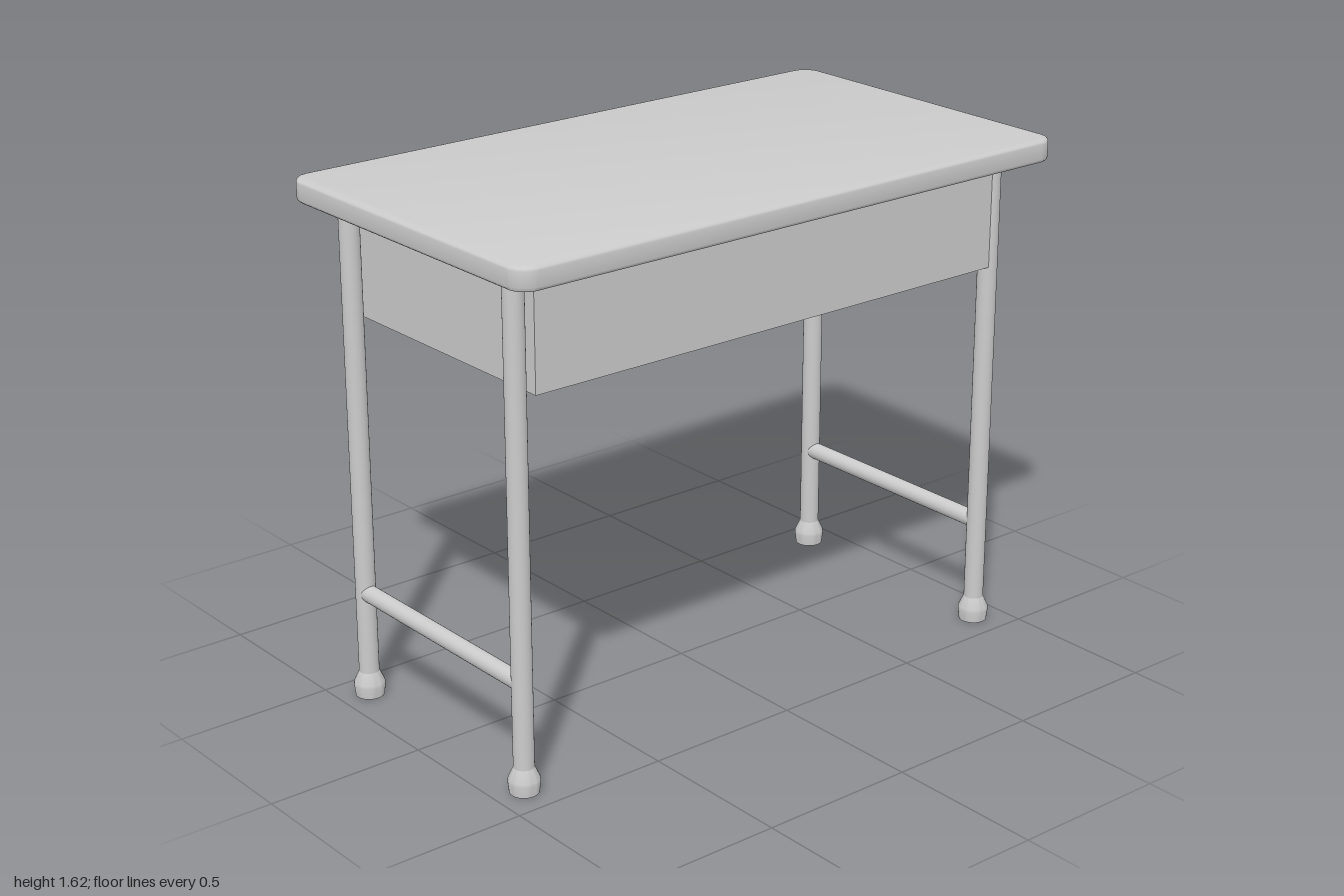
import * as THREE from 'three';
import { toCreasedNormals } from 'three/addons/utils/BufferGeometryUtils.js';

const material = new THREE.MeshStandardMaterial({ color: 0xcccccc });

function part(name, geometry, x = 0, y = 0, z = 0) {
  const mesh = new THREE.Mesh(geometry, material);
  mesh.name = name;
  mesh.position.set(x, y, z);
  return mesh;
}

// Rounded rectangle centred on the origin
function roundedRect(halfW, halfH, r) {
  const shape = new THREE.Shape();
  shape.absarc(halfW - r, halfH - r, r, 0, Math.PI / 2);
  shape.absarc(-halfW + r, halfH - r, r, Math.PI / 2, Math.PI);
  shape.absarc(-halfW + r, -halfH + r, r, Math.PI, Math.PI * 1.5);
  shape.absarc(halfW - r, -halfH + r, r, Math.PI * 1.5, Math.PI * 2);
  shape.closePath();
  return shape;
}

function lathe(points) {
  const profile = points.map(([r, y]) => new THREE.Vector2(r, y));
  return toCreasedNormals(new THREE.LatheGeometry(profile, 32), 0.5);
}

export function createModel() {
  const desk = new THREE.Group();
  desk.name = 'desk';

  // Tabletop with rounded corners and softened edges
  const bevel = 0.012;
  const topGeometry = new THREE.ExtrudeGeometry(roundedRect(0.56 - bevel, 1 - bevel, 0.05), {
    depth: 0.07 - 2 * bevel, bevelThickness: bevel, bevelSize: bevel, bevelSegments: 3, curveSegments: 8,
  });
  topGeometry.rotateX(-Math.PI / 2);
  desk.add(part('tabletop', toCreasedNormals(topGeometry, 0.6), 0, 1.55 + bevel, 0));

  // Storage tray, open on the -x side
  const tray = new THREE.Group();
  tray.name = 'storageTray';
  const [bottom, top, back, front, halfX, wall] = [1.2, 1.54, -0.875, 0.855, 0.42, 0.04];
  const height = top - bottom, length = front - back;
  const midY = (top + bottom) / 2, midZ = (front + back) / 2;
  const innerX = 2 * halfX - wall, offsetX = -wall / 2;
  const sideGeometry = new THREE.BoxGeometry(wall, height, length);
  const plateGeometry = new THREE.BoxGeometry(innerX, wall, length);
  const endGeometry = new THREE.BoxGeometry(innerX, height - 2 * wall, wall);
  tray.add(part('trayClosedSide', sideGeometry, halfX - wall / 2, midY, midZ));
  tray.add(part('trayFloor', plateGeometry, offsetX, bottom + wall / 2, midZ));
  tray.add(part('trayRoof', plateGeometry, offsetX, top - wall / 2, midZ));
  tray.add(part('trayFrontWall', endGeometry, offsetX, midY, front - wall / 2));
  tray.add(part('trayBackWall', endGeometry, offsetX, midY, back + wall / 2));
  desk.add(tray);

  // Legs with flared feet, and one stretcher for each end
  const legHeight = 1.56;
  const legGeometry = new THREE.CylinderGeometry(0.031, 0.031, legHeight - 0.02, 32);
  const footGeometry = lathe([[0, 0], [0.044, 0], [0.048, 0.035], [0.047, 0.045], [0.031, 0.08], [0, 0.08]]);
  const barGeometry = new THREE.CylinderGeometry(0.027, 0.027, 0.79, 24).rotateZ(Math.PI / 2);
  for (const [end, z] of [['front', 0.905], ['back', -0.895]]) {
    for (const [side, x] of [['Left', 0.395], ['Right', -0.395]]) {
      desk.add(part(end + side + 'Leg', legGeometry, x, (legHeight + 0.02) / 2, z));
      desk.add(part(end + side + 'Foot', footGeometry, x, 0, z));
    }
    desk.add(part(end + 'Stretcher', barGeometry, 0, 0.342, z));
  }

  return desk;
}
